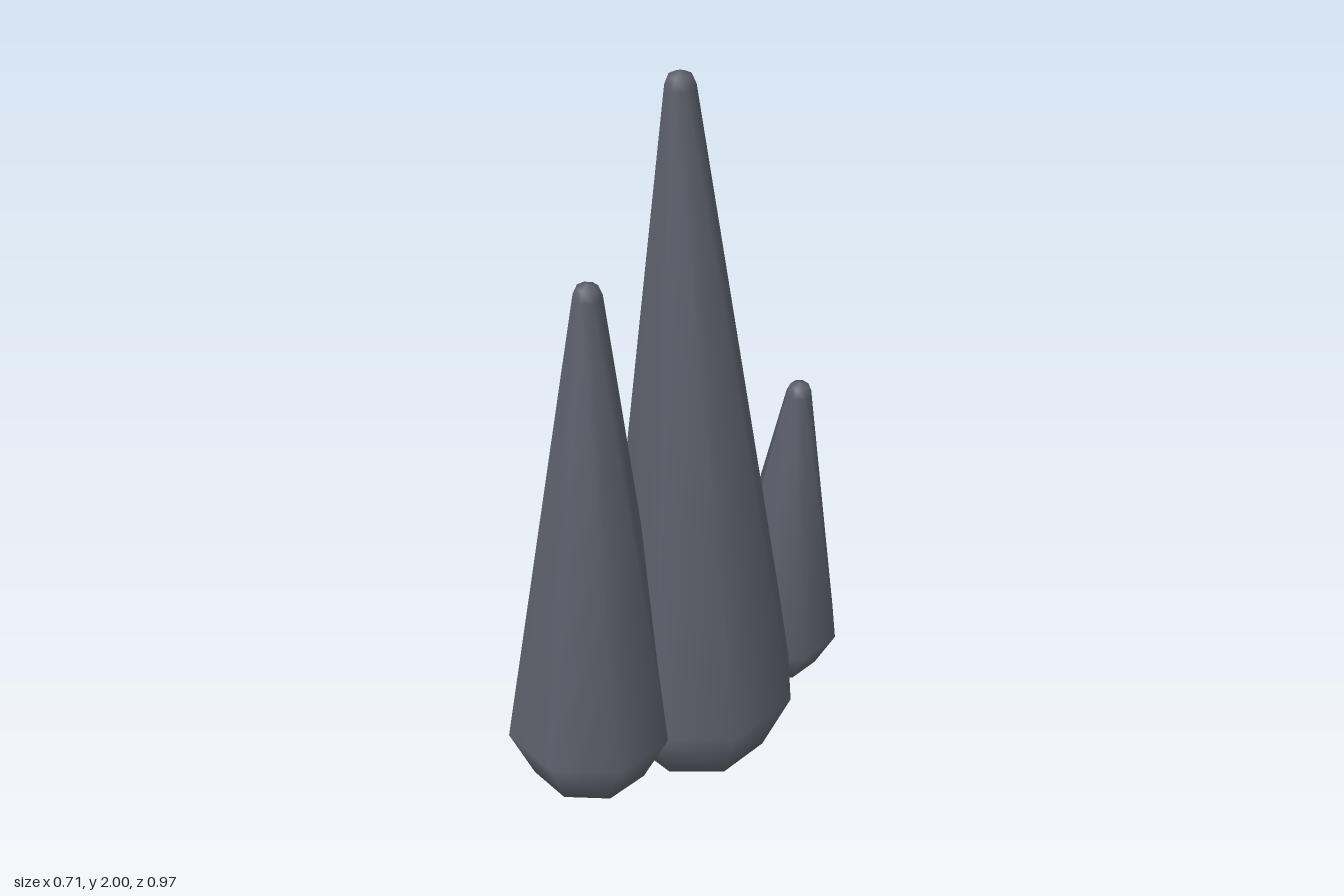
import * as THREE from 'three';

const stone = new THREE.MeshStandardMaterial({ color: 0x5c5f6a });
stone.name = 'slateStone';

// Eight-sided tapered capsule: a wide rounded foot narrowing to a small rounded tip
function spire(name, base, baseRadius, tip, tipRadius) {
  const from = new THREE.Vector3(...base);
  const axis = new THREE.Vector3(...tip).sub(from);
  const length = axis.length();
  const k = Math.SQRT1_2;
  const profile = [
    [0, -baseRadius],
    [baseRadius * k, -baseRadius * k],
    [baseRadius, 0],
    [tipRadius, length],
    [tipRadius * k, length + tipRadius * k],
    [0, length + tipRadius],
  ].map(([r, y]) => new THREE.Vector2(r, y));

  const mesh = new THREE.Mesh(new THREE.LatheGeometry(profile, 8), stone);
  mesh.name = name;
  mesh.position.copy(from);
  // Lean the spire from its foot towards its tip
  mesh.quaternion.setFromUnitVectors(new THREE.Vector3(0, 1, 0), axis.normalize());
  return mesh;
}

export function createModel() {
  const group = new THREE.Group();
  group.name = 'rockSpires';
  group.add(
    spire('tallSpire', [0.057, 0.277, -0.01], 0.277, [0.012, 1.962, 0.004], 0.038),
    spire('frontSpire', [-0.133, 0.283, 0.26], 0.225, [-0.103, 1.547, 0.249], 0.036),
    spire('backSpire', [0.183, 0.28, -0.313], 0.173, [0.222, 1.077, -0.278], 0.034),
  );
  return group;
}
